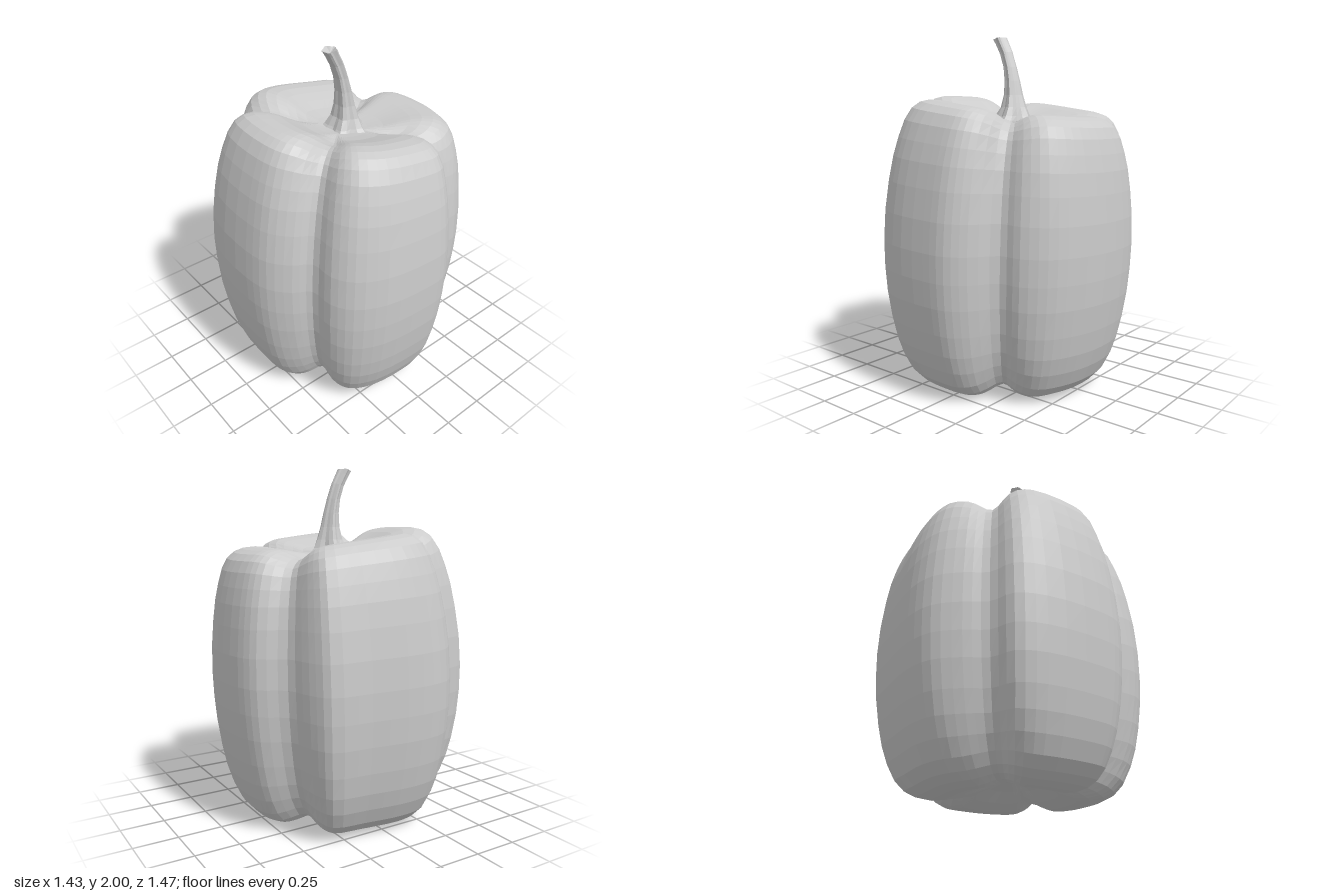
import * as THREE from 'three';

const skin = new THREE.MeshStandardMaterial({ color: 0xcccccc, flatShading: true });

// Joins closed rings of points (listed bottom to top) and closes both ends with a centre point.
function loft(rings, bottom, top) {
  const n = rings[0].length;
  const pos = [], idx = [];
  for (const ring of rings) for (const p of ring) pos.push(p.x, p.y, p.z);
  pos.push(...bottom.toArray(), ...top.toArray());
  const low = rings.length * n, high = low + 1, last = (rings.length - 1) * n;
  for (let j = 0; j < n; j++) {
    const k = (j + 1) % n;
    for (let i = 0; i < rings.length - 1; i++) {
      const a = i * n + j, b = i * n + k;
      idx.push(a, a + n, b, b, a + n, b + n);
    }
    idx.push(low, j, k, high, last + k, last + j);
  }
  const g = new THREE.BufferGeometry();
  g.setAttribute('position', new THREE.Float32BufferAttribute(pos, 3));
  g.setIndex(idx);
  g.computeVertexNormals();
  return g;
}

// Widest outline of the fruit, seen from above as [x, z]
const outline = [
  [0.71, 0.08], [0.66, 0.28], [0.58, 0.42], [0.46, 0.5], [0.34, 0.51], [0.24, 0.65], [0.14, 0.72],
  [0, 0.73], [-0.26, 0.7], [-0.42, 0.62], [-0.49, 0.51], [-0.5, 0.37], [-0.59, 0.31], [-0.68, 0.2],
  [-0.71, 0.05], [-0.69, -0.28], [-0.62, -0.43], [-0.48, -0.48], [-0.4, -0.59], [-0.28, -0.7],
  [-0.1, -0.735], [0.2, -0.7], [0.42, -0.66], [0.48, -0.55], [0.52, -0.4], [0.65, -0.3], [0.7, -0.18],
];
// The four grooves between the lobes
const grooves = [[0.34, 0.51], [-0.5, 0.37], [-0.48, -0.48], [0.52, -0.4]].map(([x, z]) => Math.atan2(z, x));

// Side profile as [scale of outline, height], from the bottom dimple to the top hollow
const profile = [
  [0.08, 0.11], [0.2, 0.08], [0.33, 0.035], [0.46, 0.005], [0.56, 0], [0.66, 0.015], [0.74, 0.045],
  [0.81, 0.1], [0.87, 0.19], [0.915, 0.29], [0.95, 0.41], [0.98, 0.56], [0.995, 0.7], [1, 0.85],
  [0.99, 1.02], [0.965, 1.18], [0.935, 1.31], [0.9, 1.41], [0.86, 1.5], [0.81, 1.565], [0.75, 1.6],
  [0.68, 1.615], [0.59, 1.615], [0.5, 1.602], [0.41, 1.58], [0.31, 1.555], [0.2, 1.54], [0.08, 1.53],
];

function grooveAt(x, z) {
  const angle = Math.atan2(z, x);
  return grooves.reduce((sum, g) => {
    const d = Math.atan2(Math.sin(angle - g), Math.cos(angle - g));
    return sum + Math.exp(-((d / 0.2) ** 2));
  }, 0);
}

function fruitGeometry() {
  const curve = new THREE.CatmullRomCurve3(outline.map(([x, z]) => new THREE.Vector3(x, 0, z)), true);
  const count = outline.length * 3;
  const rim = Array.from({ length: count }, (_, i) => curve.getPoint(i / count));
  const rings = profile.map(([s, h]) => rim.map((p) => {
    const g = grooveAt(p.x, p.z);
    const rise = h / 1.6;
    // grooves pinch in towards both ends and cut across the shoulders
    const end = Math.min(1, Math.abs(rise - 0.53) / 0.47) ** 2;
    const pinch = 1 - 0.07 * g * end;
    const cut = g * THREE.MathUtils.smoothstep(s, 0.15, 0.5) * end ** 2;
    const x = p.x * s * pinch + 0.05 * rise ** 3 * Math.min(1, s * 2);
    const y = h - 0.13 * x * rise ** 3 + cut * (h > 0.8 ? -0.07 : 0.045);
    return new THREE.Vector3(x, y, p.z * s * pinch);
  }));
  return loft(rings, new THREE.Vector3(0, 0.12, 0), new THREE.Vector3(0, 1.525, 0));
}

// Ridged stalk: [x, y, radius along x, radius along z, ridge depth]
const stalk = [
  [0.03, 1.515, 0.14, 0.16, 0.35], [0.035, 1.55, 0.105, 0.12, 0.28], [0.04, 1.6, 0.075, 0.09, 0.22],
  [0.036, 1.67, 0.055, 0.068, 0.2], [0.027, 1.75, 0.044, 0.055, 0.2], [0.01, 1.83, 0.038, 0.047, 0.2],
  [-0.018, 1.91, 0.036, 0.044, 0.2], [-0.05, 1.97, 0.037, 0.045, 0.2], [-0.065, 1.997, 0.041, 0.047, 0.22],
];

function stalkGeometry() {
  const sides = 20;
  const rings = stalk.map(([cx, y, rx, rz, depth], i) => Array.from({ length: sides }, (_, j) => {
    const a = (j / sides) * Math.PI * 2;
    const r = 1 - depth * (0.5 - 0.5 * Math.cos(5 * a + i * 0.08));
    const lean = i > 5 ? 0.2 * rx * Math.cos(a) : 0;
    return new THREE.Vector3(cx + rx * r * Math.cos(a), Math.min(2, y + lean), rz * r * Math.sin(a));
  }));
  return loft(rings, new THREE.Vector3(0.03, 1.51, 0), new THREE.Vector3(-0.06, 1.975, 0));
}

export function createModel() {
  const model = new THREE.Group();
  model.name = 'bellPepper';
  const add = (name, geometry) => {
    const mesh = new THREE.Mesh(geometry, skin);
    mesh.name = name;
    model.add(mesh);
  };
  add('fruit', fruitGeometry());
  add('stem', stalkGeometry());
  return model;
}
